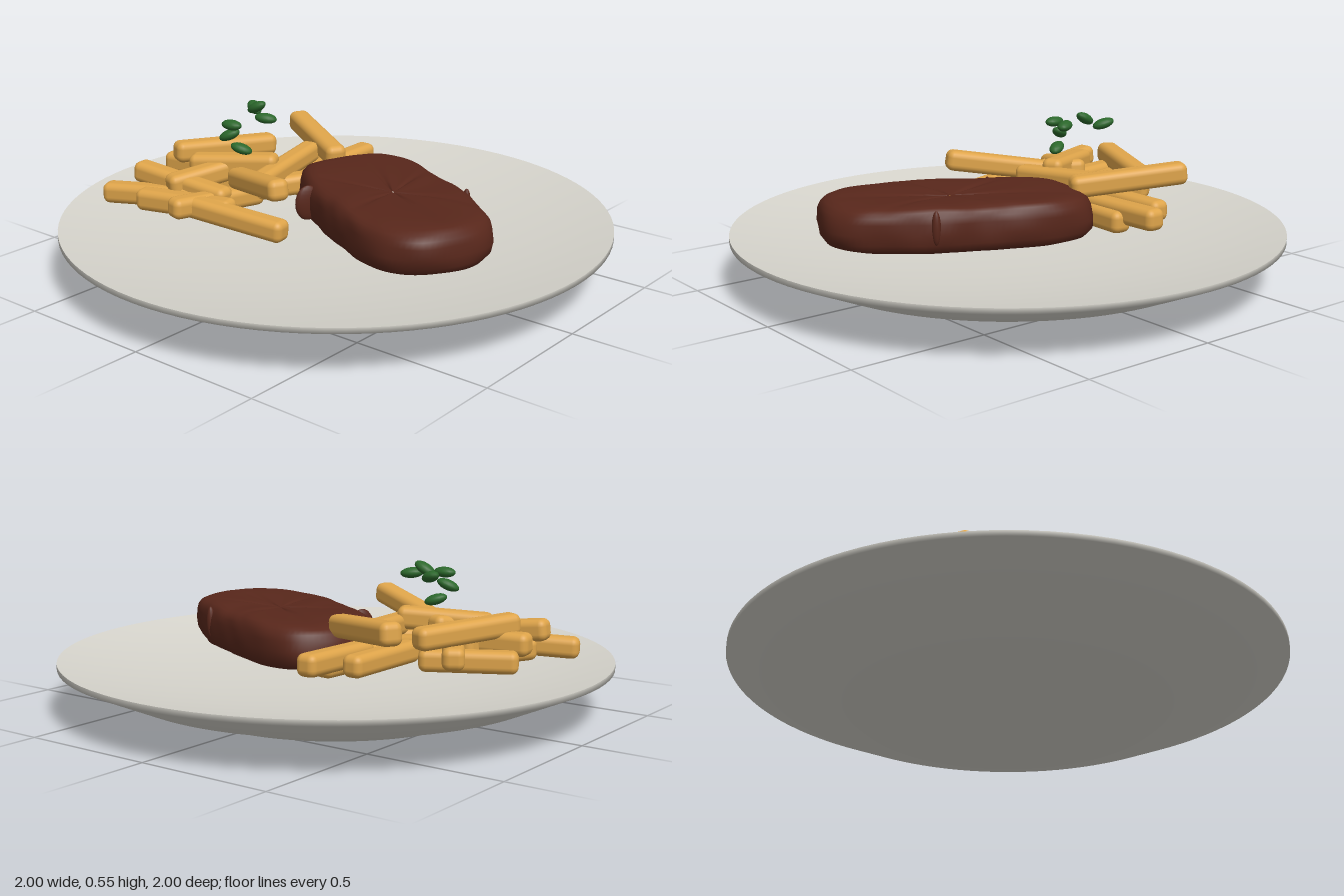
import * as THREE from 'three';
import { RoundedBoxGeometry } from 'three/addons/geometries/RoundedBoxGeometry.js';

const mat = (name, color) => {
  const m = new THREE.MeshStandardMaterial({ color });
  m.name = name;
  return m;
};

function add(parent, name, geometry, material) {
  const mesh = new THREE.Mesh(geometry, material);
  mesh.name = name;
  parent.add(mesh);
  return mesh;
}

const lathe = (pts) => new THREE.LatheGeometry(pts.map(([x, y]) => new THREE.Vector2(x, y)), 96);

// Slab lofted from a closed outline [x, z]; each level is [scale, height]
function steakGeometry(outline, levels, cx, cz) {
  const n = 120;
  const curve = new THREE.CatmullRomCurve3(outline.map(([x, z]) => new THREE.Vector3(x, 0, z)), true);
  const pts = curve.getSpacedPoints(n).slice(0, n);
  const creases = [-2.5, -1.7, -0.2, 0.45, 1.5, 2.9];
  const pos = [], idx = [];
  levels.forEach(([s, y], k) => {
    pts.forEach((p) => {
      const dx = p.x - cx, dz = p.z - cz, a = Math.atan2(dz, dx);
      const wobble = 1 + 0.008 * Math.sin(a * 7 + y * 30) + 0.005 * Math.sin(a * 13 - y * 50);
      let h = y;
      // shallow creases spreading from the middle of the top
      if (k > 6 && s > 0.05) {
        for (const c of creases) h -= 0.009 * Math.exp(-(((a - c) / 0.08) ** 2)) * (1 - s);
        h += 0.003 * Math.sin(a * 5 + s * 6) * s;
      }
      pos.push(cx + dx * s * wobble, h, cz + dz * s * wobble);
    });
  });
  for (let k = 0; k < levels.length - 1; k++) {
    for (let i = 0; i < n; i++) {
      const a = k * n + i, a2 = k * n + ((i + 1) % n);
      idx.push(a, a + n, a2, a + n, a2 + n, a2);
    }
  }
  const g = new THREE.BufferGeometry();
  g.setAttribute('position', new THREE.Float32BufferAttribute(pos, 3));
  g.setIndex(idx);
  g.computeVertexNormals();
  return g;
}

export function createModel() {
  const root = new THREE.Group();
  root.name = 'steakAndFries';
  const china = mat('plate grey', 0xd6d4cc);
  const meat = mat('seared brown', 0x58271b);
  const potato = mat('fried gold', 0xdea44a);
  const herb = mat('herb green', 0x2b672b);

  // Plate: smooth underside with a low foot and thin rim, and a dished top
  const plate = new THREE.Group();
  plate.name = 'plate';
  root.add(plate);
  const under = [[0, 0], [0.55, 0], [0.6, 0.04], [0.78, 0.07], [1, 0.167], [1, 0.187]];
  add(plate, 'plateUnderside', lathe(under), china);
  const dish = [];
  for (let i = 0; i <= 12; i++) {
    const t = 1 - i / 12;
    dish.push([t, 0.1 + 0.087 * t ** 2.3]);
  }
  add(plate, 'plateTop', lathe(dish), china);

  // Steak
  const outline = [
    [-0.205, -0.07], [-0.175, -0.25], [-0.09, -0.35], [0.02, -0.363], [0.13, -0.335], [0.3, -0.255],
    [0.45, -0.185], [0.6, -0.075], [0.68, 0], [0.705, 0.09], [0.68, 0.2], [0.61, 0.31], [0.5, 0.355],
    [0.38, 0.335], [0.22, 0.265], [0.05, 0.175], [-0.1, 0.075], [-0.175, 0],
  ];
  const levels = [
    [0.01, 0.18], [0.86, 0.18], [0.94, 0.19], [0.985, 0.215], [1, 0.25], [0.99, 0.287], [0.97, 0.309],
    [0.935, 0.325], [0.88, 0.335], [0.8, 0.34], [0.65, 0.341], [0.5, 0.34], [0.35, 0.338],
    [0.2, 0.334], [0.1, 0.331], [0.01, 0.328],
  ];
  const steak = new THREE.Group();
  steak.name = 'steak';
  root.add(steak);
  add(steak, 'steakBody', steakGeometry(outline, levels, 0.26, 0), meat);
  // small raised folds on the edge: x, y, z, turn, height, depth
  [[-0.015, 0.265, 0.14, -0.5, 0.065, 0.048], [0.45, 0.275, -0.178, 0.4, 0.06, 0.016]]
    .forEach(([x, y, z, turn, height, depth]) => {
      const fold = add(steak, 'steakFold', new THREE.SphereGeometry(1, 16, 12), meat);
      fold.scale.set(0.016, height, depth);
      fold.position.set(x, y, z);
      fold.rotation.y = turn;
    });

  // Fries: each runs between two end points [x, y, z, x, y, z]
  const fryEnds = [
    [-0.255, 0.255, -0.515, -0.255, 0.25, -0.16], [-0.52, 0.37, -0.385, -0.14, 0.33, -0.18],
    [-0.37, 0.25, -0.42, -0.37, 0.25, -0.05], [-0.22, 0.225, -0.38, -0.24, 0.225, -0.05],
    [-0.48, 0.32, -0.2, -0.645, 0.34, 0.18], [-0.295, 0.325, -0.215, -0.21, 0.305, 0.19],
    [-0.54, 0.32, 0.2, -0.24, 0.34, 0.045], [-0.13, 0.27, -0.105, -0.32, 0.25, 0.18],
    [-0.585, 0.25, -0.13, -0.41, 0.25, 0.15], [-0.73, 0.28, 0.13, -0.38, 0.28, 0.08],
    [-0.76, 0.225, 0.435, -0.4, 0.24, 0.29], [-0.69, 0.3, 0.33, -0.28, 0.255, 0.275],
    [-0.5, 0.28, 0.36, -0.38, 0.32, 0.05], [-0.375, 0.25, 0.47, -0.28, 0.235, 0.1],
    [-0.6, 0.228, 0.41, -0.21, 0.24, 0.32], [-0.37, 0.245, 0.385, 0.035, 0.215, 0.32],
    [-0.33, 0.305, 0.18, 0.03, 0.37, 0.335], [-0.63, 0.228, 0.33, -0.48, 0.228, 0.02],
    [-0.72, 0.228, 0.07, -0.42, 0.228, -0.09], [-0.57, 0.27, 0.04, -0.25, 0.24, 0.02],
  ];
  const fries = new THREE.Group();
  fries.name = 'fries';
  root.add(fries);
  fryEnds.forEach(([x1, y1, z1, x2, y2, z2], i) => {
    const a = new THREE.Vector3(x1, y1, z1), b = new THREE.Vector3(x2, y2, z2);
    const w = 0.079 + 0.002 * Math.sin(i * 2.3);
    const fry = add(fries, 'fry', new RoundedBoxGeometry(w, w, a.distanceTo(b), 3, 0.026), potato);
    fry.position.copy(a).lerp(b, 0.5);
    fry.lookAt(b);
  });

  // Herb leaves over the fries: x, y, z, turn, tilt
  const leaves = [
    [-0.43, 0.508, -0.037, -0.5, -0.3], [-0.378, 0.527, 0.008, 0.1, 0.5], [-0.305, 0.503, 0.038, 0.5, -0.1],
    [-0.36, 0.495, 0.163, 0.1, 0], [-0.38, 0.452, 0.155, 0.5, 0.4], [-0.345, 0.4, 0.13, 0.5, -0.3],
  ];
  const herbs = new THREE.Group();
  herbs.name = 'herbs';
  root.add(herbs);
  const leafGeometry = new THREE.SphereGeometry(1, 16, 10).scale(0.042, 0.019, 0.026);
  leaves.forEach(([x, y, z, turn, tilt]) => {
    const leaf = add(herbs, 'herbLeaf', leafGeometry, herb);
    leaf.position.set(x, y, z);
    leaf.rotation.set(0, turn, tilt);
  });

  return root;
}
